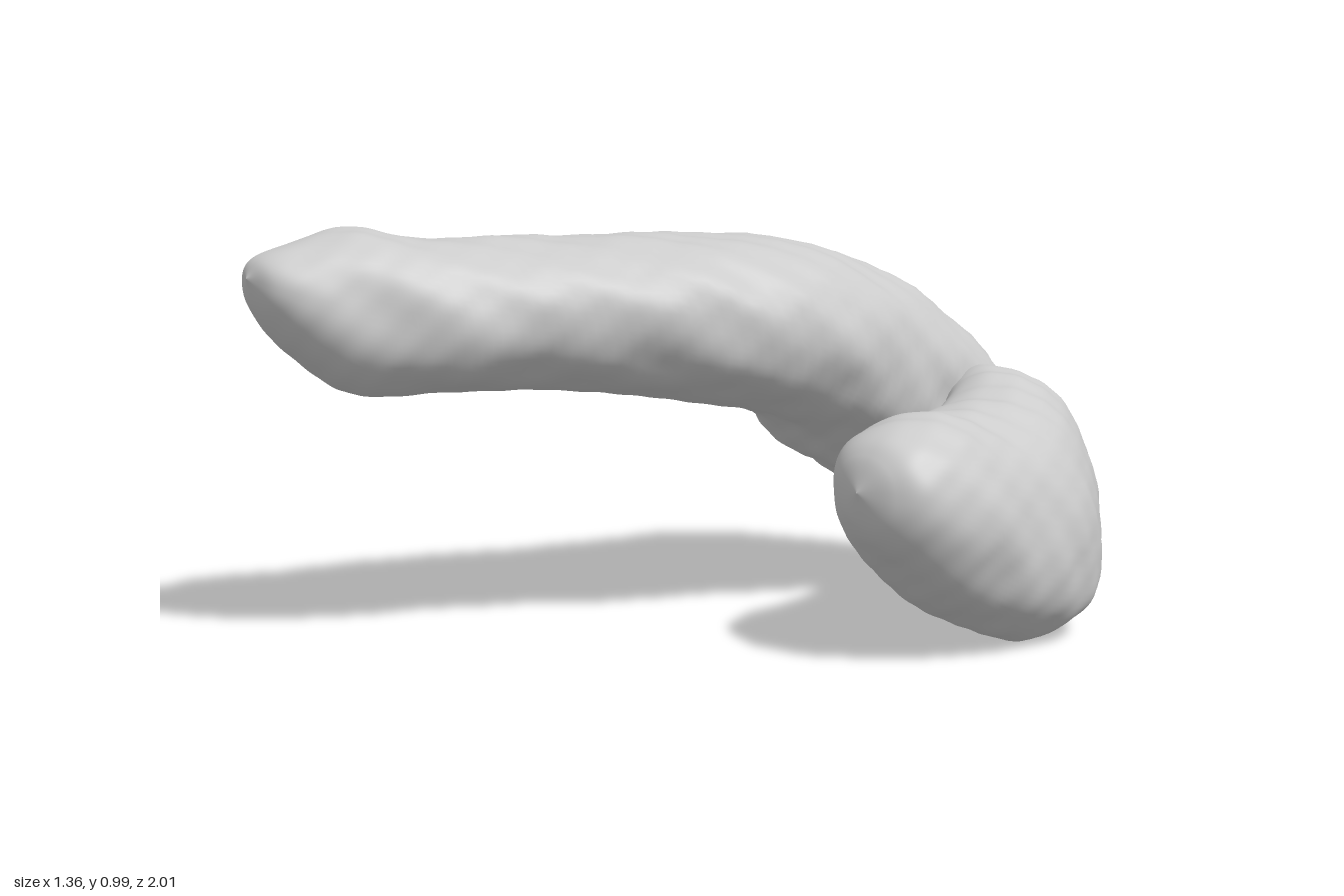
import * as THREE from 'three';

const RINGS = 180, SIDES = 80;

// Gentle lumps, as a radial scale factor
function lumps(p, seed) {
  const a = Math.sin(p.x * 17 + seed) * Math.sin(p.y * 19 + 1.3) * Math.sin(p.z * 15 + seed * 2);
  const b = Math.sin(p.x * 33 + p.z * 21) * Math.sin(p.y * 29 - p.z * 25 + seed);
  const c = Math.sin(p.z * 47 + p.y * 31) * Math.sin(p.x * 43 - p.y * 37 + seed);
  return 1 + 0.03 * a + 0.016 * b + 0.01 * c;
}

// Slightly squared circle
const squared = s => Math.sign(s) * Math.abs(s) ** 0.9;

// Smooth skin over sections: [centre, half-width vector, half-height vector]
function loft(name, sections, seed, material) {
  const [centre, wide, high] = [0, 1, 2].map(k =>
    new THREE.CatmullRomCurve3(sections.map(s => new THREE.Vector3(...s[k])), false, 'catmullrom', 0.5));
  const pos = [], index = [];
  for (let i = 0; i <= RINGS; i++) {
    const t = i / RINGS;
    const c = centre.getPoint(t), u = wide.getPoint(t), v = high.getPoint(t);
    for (let j = 0; j < SIDES; j++) {
      const a = j / SIDES * Math.PI * 2;
      const off = u.clone().multiplyScalar(squared(Math.cos(a))).addScaledVector(v, squared(Math.sin(a)));
      const scale = lumps(c.clone().add(off), seed);
      const p = c.clone().addScaledVector(off, scale);
      pos.push(p.x, p.y, p.z);
      if (i < RINGS) {
        const n = i * SIDES + (j + 1) % SIDES, m = i * SIDES + j;
        index.push(m, m + SIDES, n, n, m + SIDES, n + SIDES);
      }
    }
  }
  const g = new THREE.BufferGeometry();
  g.setAttribute('position', new THREE.Float32BufferAttribute(pos, 3));
  g.setIndex(index);
  g.computeVertexNormals();
  const mesh = new THREE.Mesh(g, material);
  mesh.name = name;
  return mesh;
}

export function createModel() {
  const model = new THREE.Group();
  model.name = 'bentRoot';
  const material = new THREE.MeshStandardMaterial({ color: 0xcccccc, side: THREE.DoubleSide });

  // Long limb: blunt tip at the front, bending down into a broad back
  model.add(loft('longLimb', [
    [[-0.5, 0.885, 1.0], [0.001, 0, 0], [0, 0.001, 0]],
    [[-0.5, 0.865, 0.97], [0.09, 0, 0.01], [0, 0.065, 0]],
    [[-0.495, 0.83, 0.89], [0.155, 0, 0.02], [0, 0.13, 0]],
    [[-0.475, 0.8, 0.76], [0.205, 0, 0.04], [0, 0.192, 0]],
    [[-0.41, 0.785, 0.6], [0.235, 0, 0.05], [0, 0.18, 0]],
    [[-0.325, 0.78, 0.3], [0.275, 0, 0.06], [0, 0.184, 0]],
    [[-0.19, 0.76, 0], [0.3, 0, 0.06], [0, 0.205, 0]],
    [[-0.12, 0.71, -0.3], [0.315, -0.02, 0.02], [0, 0.22, -0.05]],
    [[-0.13, 0.58, -0.56], [0.335, -0.05, -0.02], [0, 0.21, -0.16]],
    [[-0.11, 0.43, -0.74], [0.345, -0.07, -0.1], [0, 0.12, -0.19]],
    [[-0.09, 0.32, -0.8], [0.345, -0.07, -0.13], [0, 0.06, -0.16]],
    [[-0.05, 0.25, -0.8], [0.25, -0.055, -0.1], [0, 0.02, -0.11]],
    [[-0.02, 0.225, -0.79], [0.12, -0.02, -0.04], [0, 0.01, -0.06]],
    [[-0.02, 0.22, -0.79], [0.001, 0, 0], [0, 0, -0.001]],
  ], 0.7, material));

  // Short limb: rounded front end, curling round to join the back of the bend
  model.add(loft('shortLimb', [
    [[0.48, 0.42, 0.06], [0.001, 0, 0], [0, 0.001, 0]],
    [[0.48, 0.415, 0.03], [0.09, 0, 0], [0, 0.085, 0]],
    [[0.475, 0.4, -0.03], [0.155, 0, 0], [0, 0.145, 0]],
    [[0.46, 0.345, -0.17], [0.21, 0, 0], [-0.01, 0.225, 0.01]],
    [[0.455, 0.295, -0.34], [0.215, 0, -0.02], [-0.03, 0.265, 0.03]],
    [[0.435, 0.29, -0.5], [0.2, -0.01, -0.08], [-0.045, 0.285, 0.03]],
    [[0.36, 0.325, -0.64], [0.165, -0.04, -0.11], [-0.03, 0.285, 0.02]],
    [[0.24, 0.37, -0.75], [0.125, -0.06, -0.15], [-0.01, 0.24, 0]],
    [[0.12, 0.37, -0.79], [0.08, -0.08, -0.18], [0, 0.18, 0]],
    [[0.03, 0.38, -0.78], [0.02, -0.04, -0.11], [0, 0.1, 0]],
    [[0.0, 0.38, -0.77], [0, 0, -0.001], [0, 0.001, 0]],
  ], 2.1, material));

  return model;
}
